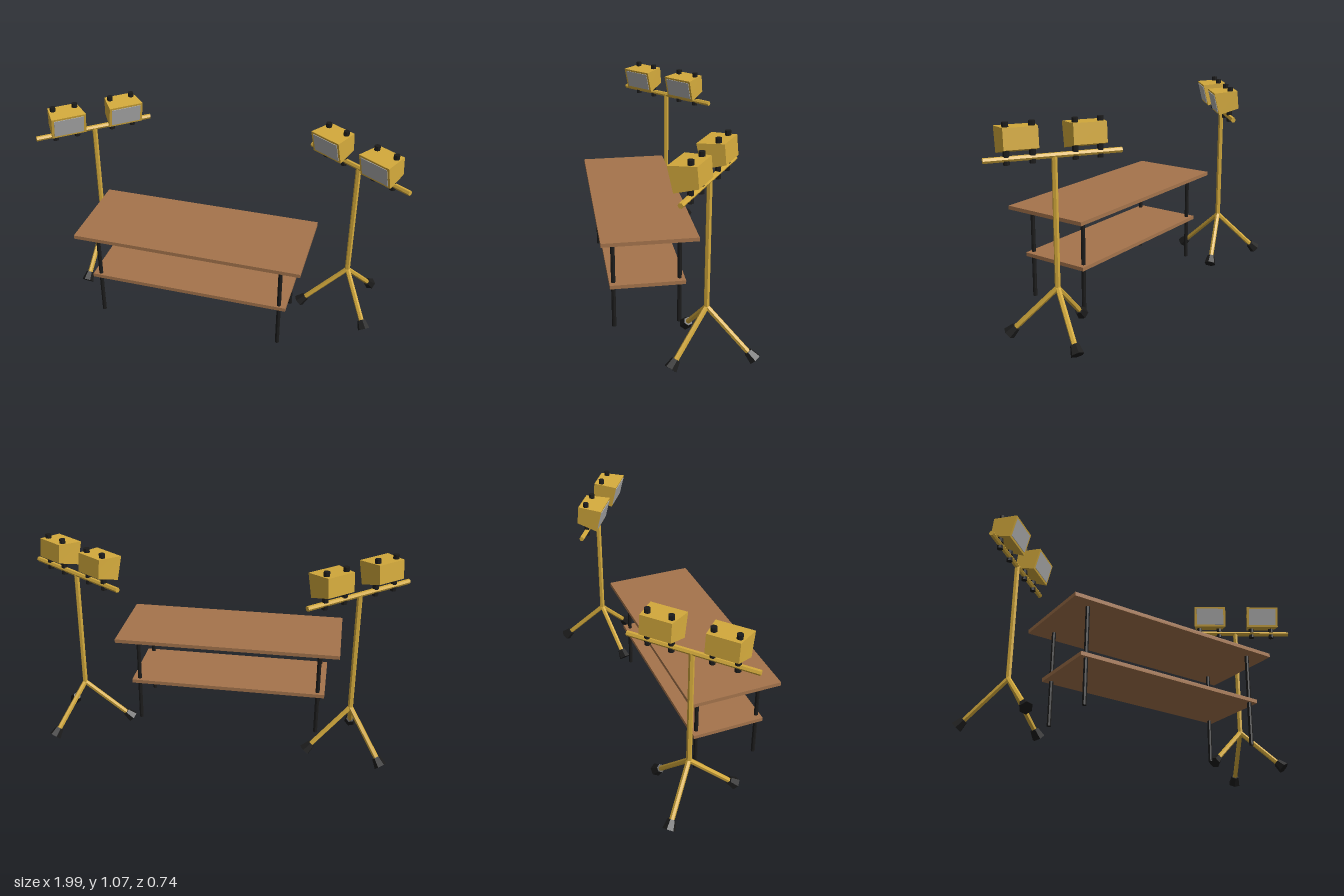
import * as THREE from 'three';

const mat = (name, color) => {
  const m = new THREE.MeshStandardMaterial({ color });
  m.name = name;
  return m;
};

export function createModel() {
  const yellow = mat('yellow paint', 0xd4aa3c);
  const wood = mat('wood', 0xa5744c);
  const black = mat('black rubber', 0x1c1c1c);
  const glass = mat('grey glass', 0xb0b0b0);

  const model = new THREE.Group();
  model.name = 'workbenchWithLights';

  const add = (parent, name, geometry, material, x = 0, y = 0, z = 0) => {
    const mesh = new THREE.Mesh(geometry, material);
    mesh.name = name;
    mesh.position.set(x, y, z);
    parent.add(mesh);
    return mesh;
  };

  // Faceted rod from point a to point b
  const rod = (parent, name, a, b, rA, rB, sides, material) => {
    const dir = new THREE.Vector3().subVectors(b, a);
    const g = new THREE.CylinderGeometry(rB, rA, dir.length(), sides).toNonIndexed();
    g.computeVertexNormals();
    const mesh = add(parent, name, g, material);
    mesh.position.addVectors(a, b).multiplyScalar(0.5);
    mesh.quaternion.setFromUnitVectors(new THREE.Vector3(0, 1, 0), dir.normalize());
    return mesh;
  };
  const V = (x, y, z) => new THREE.Vector3(x, y, z);

  // Table: top, lower shelf and four legs
  const table = new THREE.Group();
  table.name = 'table';
  model.add(table);
  add(table, 'tableTop', new THREE.BoxGeometry(1.205, 0.02, 0.48), wood, -0.07, 0.525, 0.13);
  add(table, 'lowerShelf', new THREE.BoxGeometry(1.065, 0.02, 0.385), wood, -0.072, 0.257, 0.133);
  for (const x of [-0.567, 0.423])
    for (const z of [-0.032, 0.305])
      rod(table, 'tableLeg', V(x, 0.015, z), V(x, 0.516, z), 0.011, 0.011, 8, black);

  // Lamp housing: box whose corners follow a leaning, back-tapered profile
  const housingGeometry = () => {
    const g = new THREE.BoxGeometry(2, 2, 2);
    const p = g.attributes.position;
    for (let i = 0; i < p.count; i++) {
      const front = p.getZ(i) > 0, top = p.getY(i) > 0;
      const [z, y] = front ? (top ? [0.095, 1.04] : [0.065, 0.92])
                           : (top ? [-0.037, 1.05] : [-0.047, 0.952]);
      p.setXYZ(i, p.getX(i) * (front ? 0.094 : 0.08), y, z);
    }
    g.computeVertexNormals();
    return g;
  };

  const lamp = (x) => {
    const g = new THREE.Group();
    g.name = 'lamp';
    g.position.x = x;
    add(g, 'lampHousing', housingGeometry(), yellow);
    const lens = add(g, 'lampGlass', new THREE.BoxGeometry(0.162, 0.1, 0.006), glass, 0, 0.98, 0.08);
    lens.rotation.x = Math.atan2(0.03, 0.12);
    // Clamp bolts above and below the crossbar
    for (const bx of [-0.06, 0.06]) {
      rod(g, 'bolt', V(bx, 0.912, 0), V(bx, 1.07, 0), 0.0155, 0.0155, 8, black);
      rod(g, 'boltEnd', V(bx, 0.876, 0), V(bx, 0.895, 0), 0.0155, 0.0155, 8, black);
    }
    return g;
  };

  // Tripod light stand: pole, crossbar, three splayed legs, two lamps
  const stand = (name, x, z, degrees) => {
    const g = new THREE.Group();
    g.name = name;
    g.position.set(x, 0, z);
    g.rotation.y = THREE.MathUtils.degToRad(degrees);
    model.add(g);
    rod(g, 'pole', V(0, 0.25, 0), V(0, 0.9, 0), 0.014, 0.014, 6, yellow);
    rod(g, 'crossbar', V(-0.326, 0.903, 0), V(0.326, 0.903, 0), 0.0135, 0.0135, 6, yellow);
    for (const [r, a] of [[0.228, 266], [0.235, 134], [0.222, 21]]) {
      const t = THREE.MathUtils.degToRad(a);
      const hip = V(0, 0.26, 0);
      const foot = V(r * Math.cos(t), 0.04, r * Math.sin(t));
      const along = foot.clone().sub(hip).normalize().multiplyScalar(0.025);
      rod(g, 'tripodLeg', foot, hip, 0.0135, 0.0135, 6, yellow);
      rod(g, 'rubberFoot', foot.clone().add(along), foot.clone().sub(along), 0.033, 0.022, 6, black);
    }
    g.add(lamp(-0.16), lamp(0.16));
  };
  stand('rightLightStand', -0.745, -0.147, 41.3);
  stand('leftLightStand', 0.716, -0.111, -33.5);

  return model;
}
